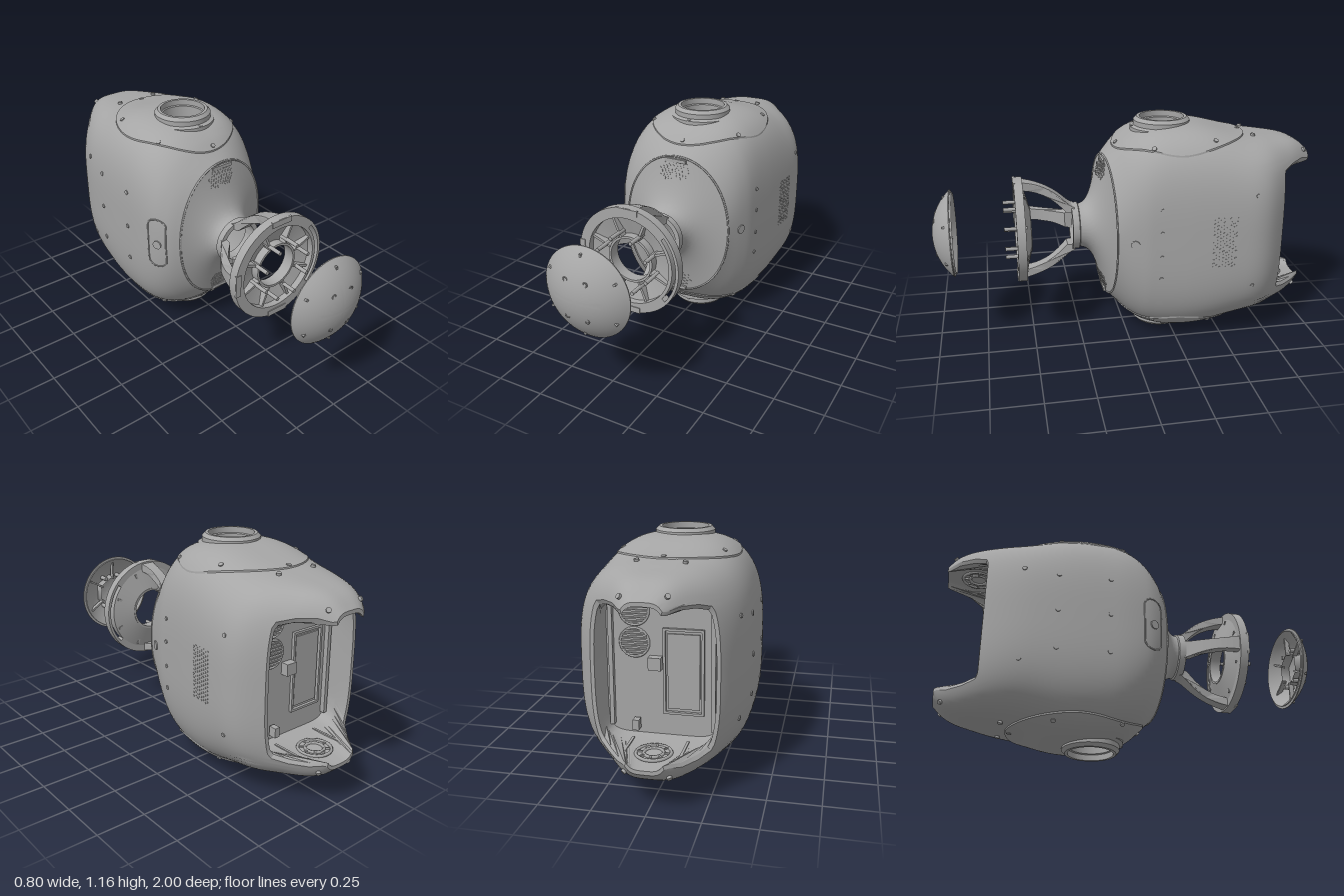
import * as THREE from 'three';
import { mergeGeometries, toCreasedNormals } from 'three/addons/utils/BufferGeometryUtils.js';

const V = (x, y, z) => new THREE.Vector3(x, y, z);
const CY = 0.585, TAU = Math.PI * 2, N = 112;
const clamp = THREE.MathUtils.clamp, smooth = THREE.MathUtils.smoothstep;

// Smooth curve through [z, value] pairs, z falling
function curve(p) {
  const m = p.map((_, i) => {
    const a = p[Math.max(i - 1, 0)], b = p[Math.min(i + 1, p.length - 1)];
    return (b[1] - a[1]) / (b[0] - a[0]);
  });
  return z => {
    z = clamp(z, p[p.length - 1][0], p[0][0]);
    let i = 0;
    while (i < p.length - 2 && z < p[i + 1][0]) i++;
    const [a, va] = p[i], [b, vb] = p[i + 1], d = b - a, t = (z - a) / d;
    return va * (1 + 2 * t) * (1 - t) ** 2 + m[i] * d * t * (1 - t) ** 2
      + vb * t * t * (3 - 2 * t) + m[i + 1] * d * t * t * (t - 1);
  };
}
// Half widths, half height and squareness of the shell along z
const wR = curve([[0.1, 0.29], [0, 0.325], [-0.08, 0.345], [-0.56, 0.395], [-0.7, 0.375], [-0.85, 0.25], [-0.96, 0.15], [-1, 0.12]]);
const wL = curve([[0.1, 0.28], [0.06, 0.33], [-0.02, 0.375], [-0.18, 0.395], [-0.56, 0.375], [-0.77, 0.31], [-0.95, 0.175], [-1, 0.12]]);
const hh = curve([[0.1, 0.385], [0.05, 0.43], [0, 0.475], [-0.07, 0.515], [-0.2, 0.545], [-0.38, 0.543], [-0.6, 0.495], [-0.75, 0.475], [-0.88, 0.455], [-0.95, 0.425], [-1, 0.38]]);
const nn = curve([[0.1, 2.1], [0, 2.7], [-0.15, 3.2], [-0.8, 3.2], [-1, 3.8]]);
const wid = (x, z) => (x > 0 ? wR(z) : wL(z));
const shear = (x, z) => z - 0.1 * x * clamp((z + 0.3) / 0.4, 0, 1);
const rho = (a, n) => (Math.abs(Math.cos(a)) ** n + Math.abs(Math.sin(a)) ** n) ** (-1 / n);

// Shell surface at depth z and angle a
function shellAt(z, a) {
  const r = rho(a, nn(z)), x = wid(Math.cos(a), z) * Math.cos(a) * r;
  return V(x, CY + hh(z) * Math.sin(a) * r, shear(x, z));
}
// Funnel surface: f = 1 at the panel edge, 0 at the neck
function funnelAt(f, a) {
  const t = 1 - f ** (1 / 2.7);
  const p = shellAt(0.1, a), q = V(-0.01 + 0.115 * Math.cos(a), CY + 0.115 * Math.sin(a), 0.25);
  return V(q.x + (p.x - q.x) * f, q.y + (p.y - q.y) * f, p.z + (q.z - p.z) * t);
}
// Angle on the shell for a height on one side, or for an x on the top or bottom
function sideAngle(y, z, s) {
  const q = (y - CY) / hh(z), n = nn(z);
  return Math.atan2(q, s * (1 - Math.abs(q) ** n) ** (1 / n));
}
function topAngle(x, z, s) {
  const q = x / wid(x, z), n = nn(z);
  return Math.atan2(s * (1 - Math.abs(q) ** n) ** (1 / n), q);
}

// Skin over closed loops of points; skip(i, j) leaves a face out
function loft(loops, crease = 0.6, skip = () => false) {
  const n = loops[0].length, idx = [];
  for (let i = 0; i < loops.length - 1; i++) for (let j = 0; j < n; j++) {
    if (skip(i, j)) continue;
    const a = i * n + j, b = i * n + (j + 1) % n;
    idx.push(a, a + n, b, b, a + n, b + n);
  }
  const g = new THREE.BufferGeometry().setFromPoints(loops.flat());
  g.setIndex(idx);
  return toCreasedNormals(g, crease);
}
const ring = fn => Array.from({ length: N }, (_, j) => fn(j / N * TAU));
const rows = (n, fn) => Array.from({ length: n + 1 }, (_, i) => ring(a => fn(i / n, a)));
const lathe = (pts, seg = 64) => toCreasedNormals(new THREE.LatheGeometry(pts.map(p => new THREE.Vector2(...p)), seg), 0.6);

// Small round fittings standing on a surface
function studs(fn, uvs, r, len = 0.01) {
  return mergeGeometries(uvs.map(([u, v]) => {
    const p = fn(u, v), e = 0.004;
    const n = fn(u - e, v).sub(p).cross(fn(u, v + e).sub(p)).normalize();
    const m = new THREE.Matrix4().makeRotationFromQuaternion(new THREE.Quaternion().setFromUnitVectors(V(0, 1, 0), n));
    return new THREE.CylinderGeometry(r, r, len, 10).applyMatrix4(m.setPosition(p));
  }));
}
const seam = (pts, r) => new THREE.TubeGeometry(new THREE.CatmullRomCurve3(pts, true), 120, r, 6, true);

export function createModel() {
  const root = new THREE.Group();
  const grey = new THREE.MeshStandardMaterial({ color: 0xa6a6a6, side: THREE.DoubleSide });
  grey.name = 'grey plastic';
  const add = (name, geo, x = 0, y = 0, z = 0, parent = root) => {
    const m = new THREE.Mesh(geo, grey);
    m.name = name;
    m.position.set(x, y, z);
    parent.add(m);
    return m;
  };
  const box = (name, w, h, d, x, y, z, parent) => add(name, new THREE.BoxGeometry(w, h, d), x, y, z, parent);

  // Main shell, cut away at the rear and open under both caps
  const zEnd = a => -0.8 - 0.2 * smooth(Math.abs(Math.sin(a)) * rho(a, 3.2), 0.68, 0.88);
  const R = 50, rowZ = (t, a) => 0.1 + (zEnd(a) - 0.1) * t;
  add('shell', loft(rows(R, (t, a) => shellAt(rowZ(t, a), a)), 0.6, (i, j) => {
    const a = (j + 0.5) / N * TAU, z = rowZ((i + 0.5) / R, a), p = shellAt(z, a);
    return Math.abs(p.y - CY) > 0.3 && Math.hypot(p.x / 0.3, (z + 0.295) / 0.345) < 0.88;
  }));

  // Rear bay: rim, sloping walls and back wall
  const rim = ring(a => shellAt(zEnd(a), a));
  const bay = (s, z) => ring(a => V(0.27 * s * Math.cos(a) * rho(a, 8), CY + 0.345 * s * Math.sin(a) * rho(a, 8), z));
  add('rearBay', loft([rim, rim.map(p => V(p.x * 0.94, CY + (p.y - CY) * 0.95, p.z)), bay(1, -0.72), bay(0.98, -0.66), bay(0.01, -0.66)], 0.5));
  for (const y of [0.84, 0.69]) {
    add('fanGrilleRing', new THREE.TorusGeometry(0.068, 0.006, 6, 32), 0.13, y, -0.665);
    for (let i = -3; i <= 3; i++) box('fanGrilleSlat', 2 * Math.sqrt(0.0046 - (i * 0.018) ** 2), 0.008, 0.012, 0.13, y + i * 0.018, -0.665);
  }
  for (const s of [-1, 1]) {
    box('hatchFrameSide', 0.012, 0.4, 0.02, -0.1 + s * 0.09, 0.56, -0.665);
    box('hatchFrameEnd', 0.19, 0.012, 0.02, -0.1, 0.56 + s * 0.2, -0.665);
    box('bayRail', 0.02, 0.6, 0.03, s * 0.24, CY, -0.67);
    // Round vents and ribs on the bay floor and ceiling
    const y = CY + s * 0.35;
    const vent = new THREE.Group();
    vent.name = 'lipVent';
    vent.position.set(0, y, -0.84);
    root.add(vent);
    for (const r of [0.045, 0.08]) add('ventRing', new THREE.TorusGeometry(r, 0.008, 6, 32).rotateX(Math.PI / 2), 0, 0, 0, vent);
    for (let i = 0; i < 8; i++) {
      const rib = box('ventRib', 0.04, 0.012, 0.008, 0.062 * Math.cos(i * TAU / 8), 0, -0.062 * Math.sin(i * TAU / 8), vent);
      rib.rotation.y = i * TAU / 8;
    }
    for (const sx of [-1, 1]) box('lipRib', 0.012, 0.02, 0.18, sx * 0.13, y, -0.8);
  }
  box('connector', 0.06, 0.06, 0.04, 0.03, 0.6, -0.68);
  box('hatchPlate', 0.15, 0.36, 0.008, -0.1, 0.56, -0.664);
  box('latch', 0.03, 0.05, 0.04, 0.12, 0.3, -0.69);

  // Raised caps with through-hole collars above and below
  for (const s of [1, -1]) {
    const capAt = (k, a, lift) => {
      const x = -0.01 + 0.13 * Math.cos(a) + (0.01 + 0.17 * Math.cos(a)) * k;
      const z = -0.21 + 0.13 * Math.sin(a) + (-0.085 + 0.215 * Math.sin(a)) * k;
      const p = shellAt(z, topAngle(x, z, s));
      p.y += s * lift;
      return p;
    };
    const loops = rows(14, (t, a) => capAt(t, a, 0.007));
    loops.push(ring(a => capAt(1.015, a, -0.012)));
    add(s > 0 ? 'topCap' : 'bottomCap', loft(loops, 0.5));
    const collar = add(s > 0 ? 'topCollar' : 'bottomCollar', lathe([[0.11, -0.09], [0.165, -0.04], [0.165, 0], [0.146, 0.008],
      [0.146, 0.033], [0.13, 0.05], [0.115, 0.05], [0.115, 0.02], [0.11, 0.015], [0.11, -0.09]]), -0.01, CY + s * 0.53, -0.21);
    if (s < 0) collar.rotation.x = Math.PI;
    const spots = [[0, 0.03], [0, -0.62], [0.24, -0.43], [-0.24, -0.43], [0.24, -0.11], [-0.24, -0.11], [0.11, -0.67], [-0.11, -0.67], [0.1, -0.96], [-0.1, -0.96]];
    add('capScrews', studs(shellAt, spots.map(([x, z]) => [z, topAngle(x, z, s)]), 0.012, 0.022));
    for (let i = 0; i < 4; i++) add('collarScrew', new THREE.CylinderGeometry(0.01, 0.01, 0.01, 10),
      -0.01 + 0.155 * Math.cos(i * TAU / 4), CY + s * 0.531, -0.21 + 0.155 * Math.sin(i * TAU / 4));
  }

  // Side screws, side vent and front grip outline
  const onSide = (s, list) => list.map(([y, z]) => [z, sideAngle(y, z, s)]);
  const corner = [[0.83, -0.62], [0.34, -0.62]];
  add('leftScrews', studs(shellAt, onSide(1, [[0.4, -0.13], [0.52, -0.13], [0.65, -0.13], [0.77, -0.13], ...corner]), 0.01));
  add('rightScrews', studs(shellAt, onSide(-1, [0.4, 0.6, 0.8].flatMap(y => [[y, -0.2], [y, -0.45]]).concat(corner)), 0.012));
  for (const s of [1, -1]) add('sideBoss', studs(shellAt, onSide(s, [[CY, 0.01]]), 0.024, 0.012));
  const dots = [];
  for (let i = 0; i < 8; i++) for (let j = 0; j < 14; j++) dots.push([0.46 + j * 0.0195 + (i % 2) * 0.009, -0.405 - i * 0.016]);
  add('sideVent', studs(shellAt, onSide(1, dots), 0.005, 0.004));
  add('frontGrip', seam(Array.from({ length: 24 }, (_, i) => {
    const a = i / 24 * TAU, z = 0.005 + 0.045 * Math.cos(a);
    return shellAt(z, sideAngle(0.59 + 0.1 * Math.sign(Math.sin(a)) * (Math.abs(Math.sin(a)) > 0.1) + 0.04 * Math.sin(a), z, -1));
  }), 0.004));

  // Front funnel with perforated patches
  add('frontFunnel', loft(rows(24, (t, a) => funnelAt((1 - t) ** 2, a)), 0.8));
  add('panelSeam', seam(ring(a => shellAt(0.1, a)), 0.005));
  for (const s of [1, -1]) {
    const holes = [];
    for (let i = 0; i < 5; i++) for (let j = -4; j <= 4; j++)
      if (Math.abs(j) + Math.abs(i - 2) < 6) holes.push([0.6 + i * 0.07, s * Math.PI / 2 + (j + (i % 2) * 0.5) * 0.075]);
    add('funnelVent', studs(funnelAt, holes, 0.008, 0.005));
    box('funnelTab', 0.12, 0.018, 0.012, 0, CY + s * 0.365, 0.108);
  }
  add('neck', lathe([[0.1, 0.2], [0.115, 0.235], [0.125, 0.24], [0.125, 0.275], [0.1, 0.275], [0.1, 0.2]]).rotateX(Math.PI / 2), -0.01, CY, 0);

  // Bracket: three curved legs carrying an open dish
  const bracket = new THREE.Group();
  bracket.name = 'bracket';
  bracket.position.set(-0.005, CY, 0);
  root.add(bracket);
  const leg = new THREE.Shape();
  leg.moveTo(0.12, 0.26);
  leg.bezierCurveTo(0.13, 0.31, 0.25, 0.35, 0.272, 0.56);
  leg.lineTo(0.225, 0.54);
  leg.bezierCurveTo(0.21, 0.4, 0.13, 0.34, 0.09, 0.3);
  leg.lineTo(0.09, 0.26);
  const legGeo = toCreasedNormals(new THREE.ExtrudeGeometry(leg, { depth: 0.07, bevelEnabled: false, curveSegments: 16 }).translate(0, 0, -0.035).rotateX(Math.PI / 2), 0.5);
  for (const q of [1, 2, 3]) {
    // Shape y becomes z; the leg then turns about the z axis, flaring at both ends
    const g = legGeo.clone(), p = g.attributes.position;
    for (let i = 0; i < p.count; i++) p.setY(i, p.getY(i) * (0.85 + 22 * (p.getZ(i) - 0.42) ** 2));
    g.computeVertexNormals();
    add('bracketLeg', g, 0, 0, 0, bracket).rotation.z = q * Math.PI / 2;
  }
  add('dish', lathe([[0.11, 0.49], [0.24, 0.525], [0.24, 0.54], [0.11, 0.505], [0.11, 0.49]]).rotateX(Math.PI / 2), 0, 0, 0, bracket);
  const rimShape = new THREE.Shape().absarc(0, 0, 0.277, 0, TAU);
  rimShape.holes.push(new THREE.Path().absarc(0, 0, 0.225, 0, TAU, true));
  const slot = new THREE.Path().absarc(0, 0, 0.262, -0.7, 0.7, false);
  slot.absarc(0, 0, 0.242, 0.7, -0.7, true);
  rimShape.holes.push(slot);
  add('dishRim', toCreasedNormals(new THREE.ExtrudeGeometry(rimShape, { depth: 0.045, bevelEnabled: false, curveSegments: 48 }), 0.5), 0, 0, 0.525, bracket);
  add('dishInnerWall', lathe([[0.11, 0.49], [0.122, 0.49], [0.122, 0.55], [0.11, 0.55], [0.11, 0.49]]).rotateX(Math.PI / 2), 0, 0, 0, bracket);
  for (let i = 0; i < 8; i++) {
    const a = (i + 0.5) * TAU / 8;
    box('dishRib', 0.11, 0.012, 0.04, 0.175 * Math.cos(a), 0.175 * Math.sin(a), 0.535, bracket).rotation.z = a;
    add('dishPin', new THREE.CylinderGeometry(0.01, 0.01, 0.12, 10).rotateX(Math.PI / 2), 0.144 * Math.cos(a), 0.144 * Math.sin(a), 0.57, bracket);
  }
  for (const q of [1, 2, 3]) box('rimTab', 0.03, 0.12, 0.012, 0.26 * Math.cos(q * Math.PI / 2), 0.26 * Math.sin(q * Math.PI / 2), 0.568, bracket).rotation.z = q * Math.PI / 2;

  // Front dome: hollow cap with ribs behind and four screws
  const dome = new THREE.Group();
  dome.name = 'dome';
  dome.position.set(-0.008, CY, 0);
  root.add(dome);
  const capZ = r => 0.69 + Math.sqrt(0.0961 - r * r);
  const outer = Array.from({ length: 15 }, (_, i) => [0.228 * i / 14, capZ(0.228 * i / 14)]);
  const inner = outer.map(([r, z]) => [r * 0.94, z - 0.014]).reverse();
  add('domeShell', lathe([...outer, [0.228, 0.895], [0.214, 0.895], ...inner], 72).rotateX(Math.PI / 2), 0, 0, 0, dome);
  add('domeHexRib', new THREE.CylinderGeometry(0.1, 0.1, 0.05, 6, 1, true).rotateX(Math.PI / 2), 0, 0, 0.94, dome);
  for (let i = 0; i < 6; i++) {
    const a = (i + 0.5) * TAU / 6;
    box('domeRib', 0.12, 0.01, 0.025, 0.145 * Math.cos(a), 0.145 * Math.sin(a), 0.922, dome).rotation.z = a;
  }
  for (const sx of [-1, 1]) for (const sy of [-1, 1]) {
    add('domeScrew', new THREE.TorusGeometry(0.01, 0.003, 6, 16), sx * 0.053, sy * 0.092, capZ(0.106), dome);
    add('domePost', new THREE.CylinderGeometry(0.012, 0.012, 0.06, 10).rotateX(Math.PI / 2), sx * 0.053, sy * 0.092, 0.94, dome);
  }
  return root;
}
